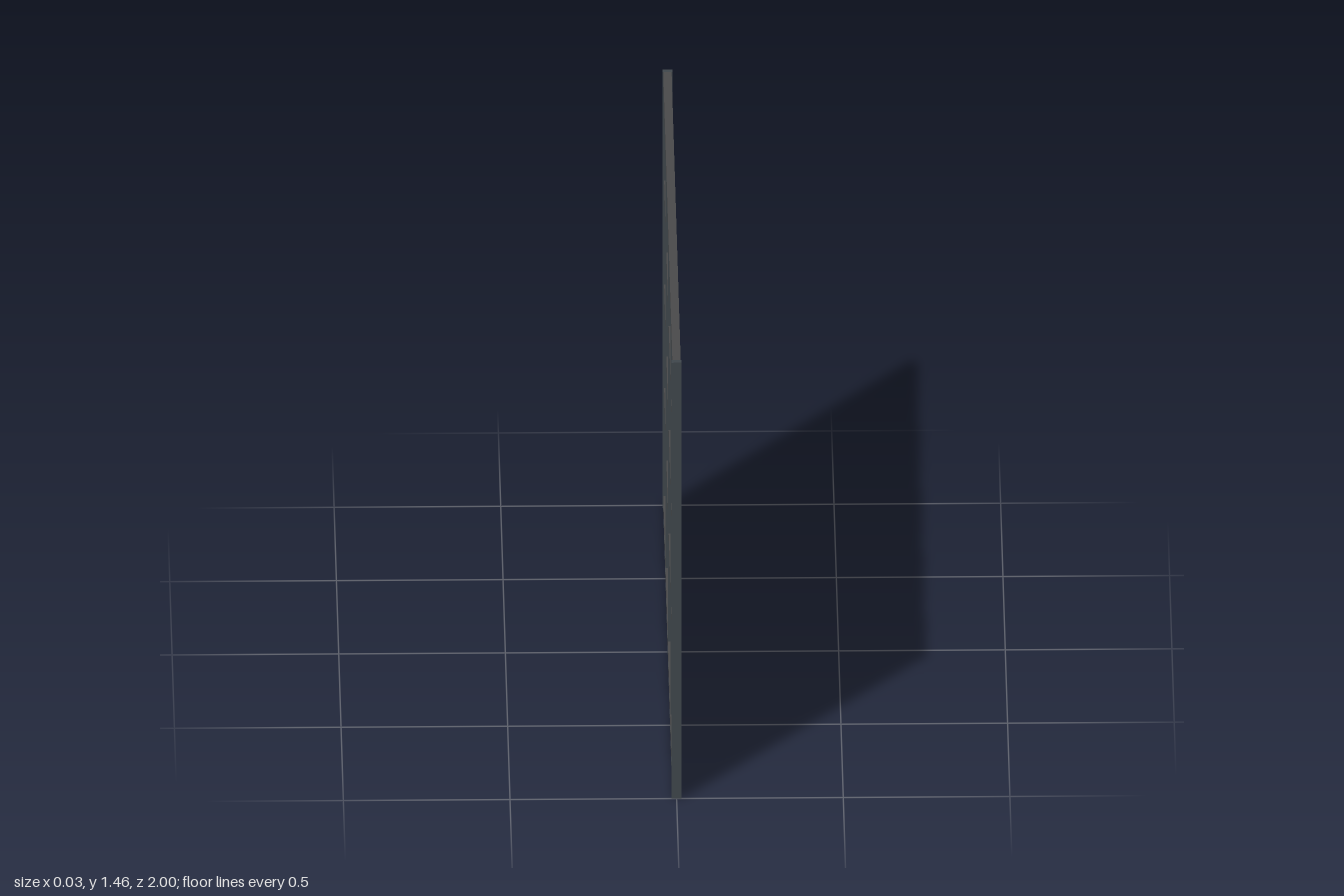
import * as THREE from 'three';

export function createModel() {
  const model = new THREE.Group();
  const material = (name, color) => {
    const m = new THREE.MeshStandardMaterial({ color });
    m.name = name;
    return m;
  };
  const railGrey = material('rail grey', 0x4a4a4b);
  const postGrey = material('post blue grey', 0x40474c);
  const paneGrey = material('pane light grey', 0xbebebe);

  const H = 1.456;
  const box = (name, mat, depth, height, length, y, z) => {
    const mesh = new THREE.Mesh(new THREE.BoxGeometry(depth, height, length), mat);
    mesh.name = name;
    mesh.position.set(0, y, z);
    model.add(mesh);
  };

  // Outer frame: end posts, top and bottom rails, thin sill
  for (const s of [-1, 1]) box('endPost', postGrey, 0.03, H, 0.018, H / 2, s * 0.991);
  box('topRail', railGrey, 0.025, 0.029, 1.964, H - 0.0145, 0);
  box('bottomRail', railGrey, 0.025, 0.028, 1.964, 0.026, 0);
  box('sill', postGrey, 0.026, 0.012, 1.964, 0.006, 0);

  // Glazing bars dividing the panel into four by four
  const barZ = [-0.5, 0, 0.5];
  const barY = [0.39, 0.737, 1.084];
  for (const z of barZ) box('verticalBar', postGrey, 0.024, H - 0.069, 0.02, (H + 0.011) / 2, z);
  for (const y of barY) box('horizontalBar', railGrey, 0.02, 0.02, 1.964, y, 0);

  // One thin pane in each opening
  const zEdges = [-0.982, ...barZ, 0.982];
  const yEdges = [0.04, ...barY, H - 0.029];
  for (let i = 0; i < 4; i++) {
    for (let j = 0; j < 4; j++) {
      box('pane', paneGrey, 0.006,
        yEdges[j + 1] - yEdges[j], zEdges[i + 1] - zEdges[i],
        (yEdges[j] + yEdges[j + 1]) / 2, (zEdges[i] + zEdges[i + 1]) / 2);
    }
  }
  return model;
}
